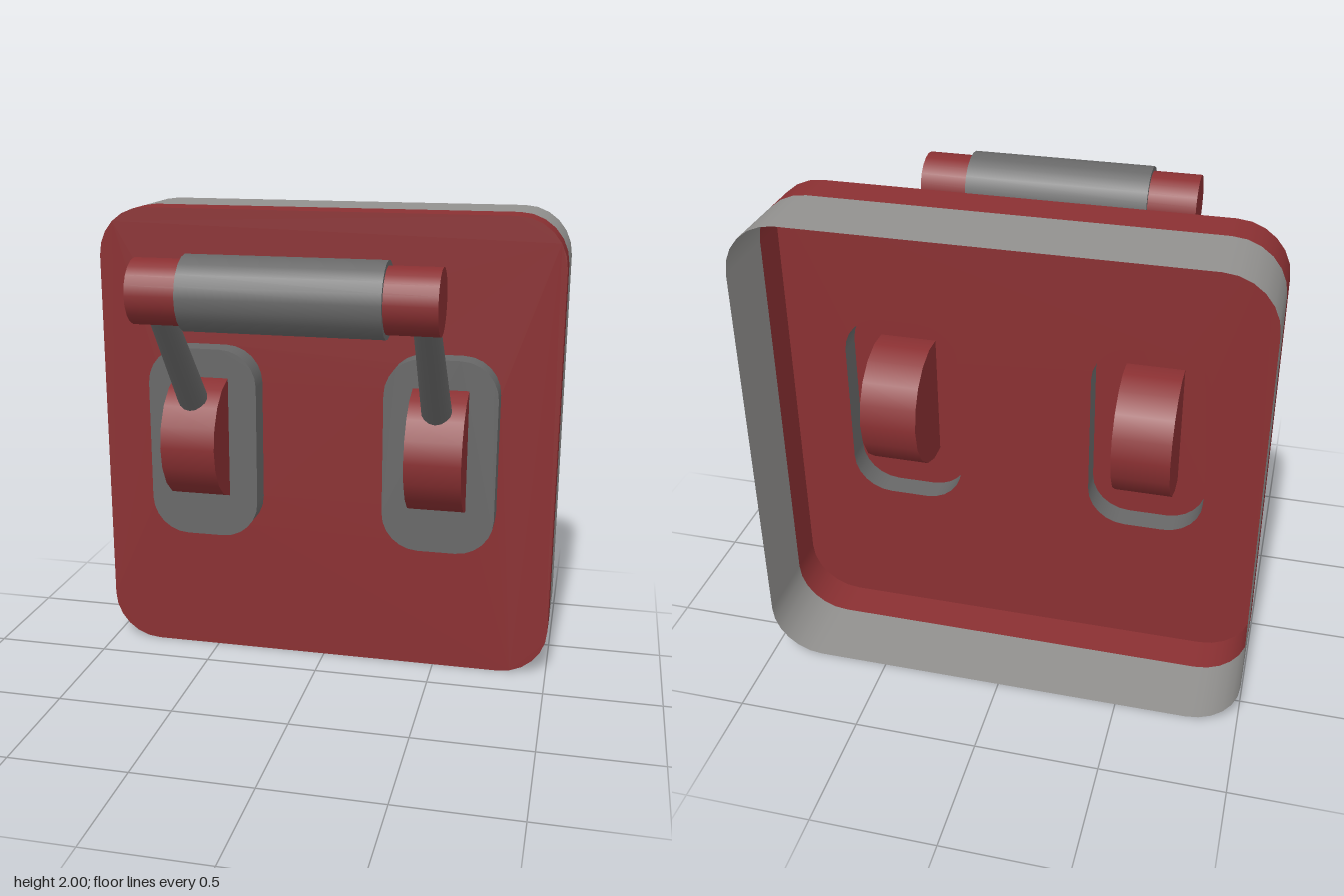
import * as THREE from 'three';

const mat = (name, color) => {
  const m = new THREE.MeshStandardMaterial({ color, side: THREE.DoubleSide });
  m.name = name;
  return m;
};

// Outline of a rounded rectangle: points with their outward directions
function outline(cx, cy, w, h, r, seg) {
  const pts = [];
  [[1, 1], [-1, 1], [-1, -1], [1, -1]].forEach(([sx, sy], q) => {
    for (let i = 0; i <= seg; i++) {
      const a = (q + i / seg) * Math.PI / 2;
      const nx = Math.cos(a), ny = Math.sin(a);
      pts.push({ x: cx + sx * (w / 2 - r) + r * nx, y: cy + sy * (h / 2 - r) + r * ny, nx, ny });
    }
  });
  return pts;
}

// Open band of wall along an outline, from z0 (back) to z1 (front)
function wall(pts, z0, z1) {
  const pos = [], nor = [], idx = [];
  const n = pts.length;
  pts.forEach((p, i) => {
    pos.push(p.x, p.y, z0, p.x, p.y, z1);
    nor.push(p.nx, p.ny, 0, p.nx, p.ny, 0);
    const a = 2 * i, b = 2 * ((i + 1) % n);
    idx.push(a, b, b + 1, a, b + 1, a + 1);
  });
  const g = new THREE.BufferGeometry();
  g.setAttribute('position', new THREE.Float32BufferAttribute(pos, 3));
  g.setAttribute('normal', new THREE.Float32BufferAttribute(nor, 3));
  g.setIndex(idx);
  return g;
}

const toVectors = (pts) => pts.map((p) => new THREE.Vector2(p.x, p.y));

export function createModel() {
  const model = new THREE.Group();
  const red = mat('red', 0x8a3032);
  const lightGray = mat('light gray', 0x92918f);
  const darkGray = mat('dark gray', 0x686868);

  const add = (name, geometry, material, x = 0, y = 0, z = 0) => {
    const mesh = new THREE.Mesh(geometry, material);
    mesh.name = name;
    mesh.position.set(x, y, z);
    model.add(mesh);
    return mesh;
  };

  const FRONT = -0.18, BAND = -0.34, BACK = -0.64, PAD = -0.07;
  const HUB = { x: 0.517, y: 1.033, z: -0.115 };
  const GRIP = { y: 1.757, z: 0.495 };

  // Hollow casing, open at the back
  const body = outline(0, 1, 2, 2, 0.21, 6);
  add('casingRearWall', wall(body, BACK, BAND), lightGray);
  add('casingFrontWall', wall(body, BAND, FRONT), red);

  // Front panel with an opening behind each pad
  const panel = new THREE.Shape(toVectors(body));
  const pads = [-1, 1].map((s) => outline(s * 0.516, 1, 0.48, 0.84, 0.16, 6));
  panel.holes = pads.map((p) => new THREE.Path(toVectors(p)));
  add('frontPanel', new THREE.ShapeGeometry(panel), red, 0, 0, FRONT);

  [-1, 1].forEach((s, i) => {
    const side = s > 0 ? 'left' : 'right';

    // Raised pad: rim, gray front and red lining seen from the back
    const face = new THREE.Shape(toVectors(pads[i]));
    add(side + 'PadRim', wall(pads[i], FRONT, PAD), darkGray);
    add(side + 'PadFace', new THREE.ShapeGeometry(face), darkGray, 0, 0, PAD);
    add(side + 'PadLining', new THREE.ShapeGeometry(face), red, 0, 0, PAD - 0.006);

    // Pivot wheel, running through the pad
    const wheel = new THREE.CylinderGeometry(0.267, 0.267, 0.235, 18);
    wheel.rotateZ(Math.PI / 2);
    add(side + 'PivotWheel', wheel, red, s * HUB.x, HUB.y, HUB.z);

    // Tapered arm from the wheel to the grip
    const from = new THREE.Vector3(s * HUB.x, HUB.y, HUB.z);
    const to = new THREE.Vector3(s * HUB.x, GRIP.y, GRIP.z);
    const dir = to.clone().sub(from);
    const arm = add(side + 'Arm', new THREE.CylinderGeometry(0.05, 0.068, dir.length(), 16), darkGray);
    arm.position.copy(from).add(to).multiplyScalar(0.5);
    arm.quaternion.setFromUnitVectors(new THREE.Vector3(0, 1, 0), dir.normalize());
  });

  // Grip bar and its sleeve
  const bar = (name, radius, length, material) => {
    const g = new THREE.CylinderGeometry(radius, radius, length, 20);
    g.rotateZ(Math.PI / 2);
    add(name, g, material, 0, GRIP.y, GRIP.z);
  };
  bar('gripBar', 0.127, 1.17, red);
  bar('gripSleeve', 0.146, 0.77, darkGray);

  return model;
}
